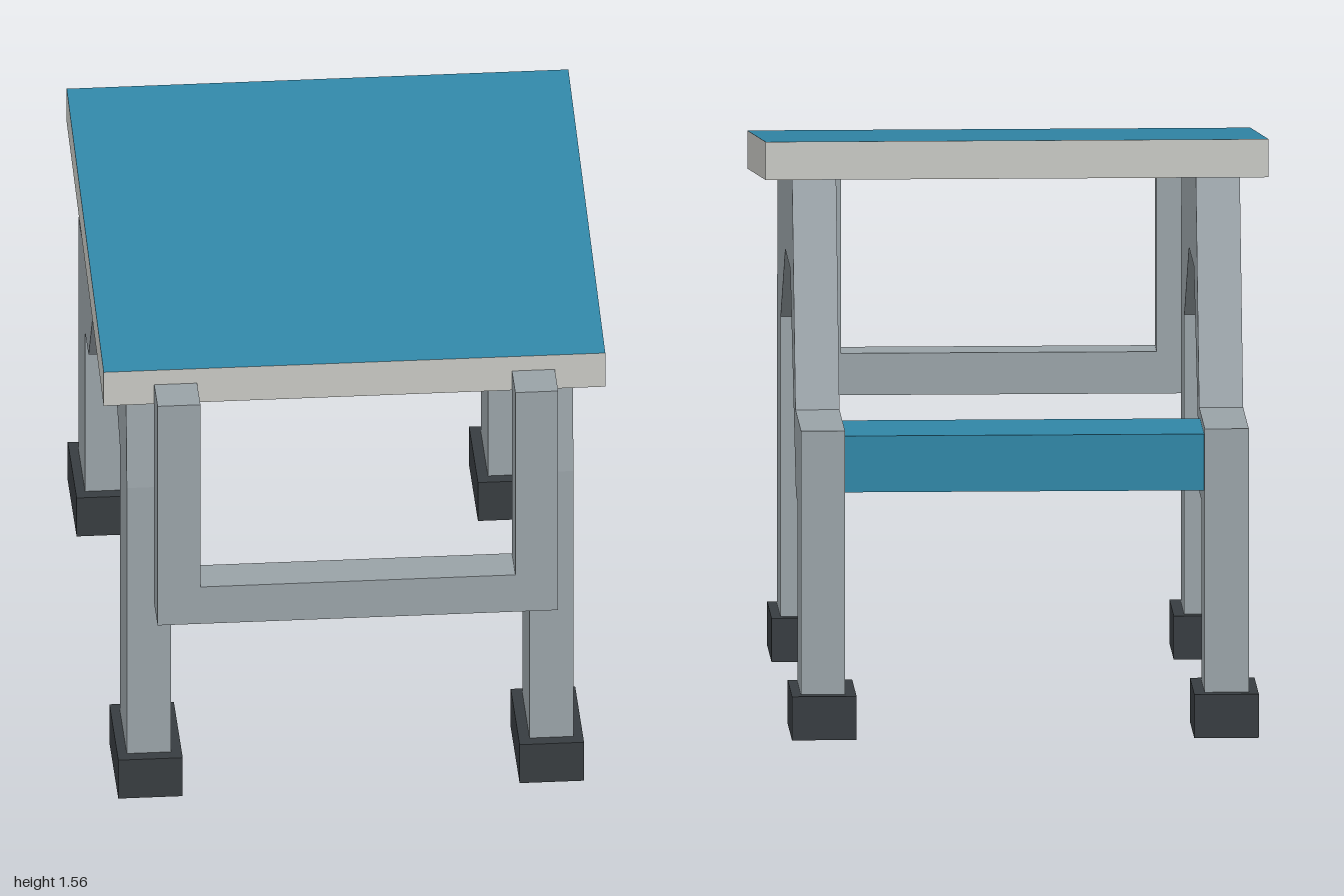
import * as THREE from 'three';

const mat = (color) => new THREE.MeshStandardMaterial({ color, flatShading: true });

export function createModel() {
  const model = new THREE.Group();
  model.name = 'slopedStepStool';
  const frameMat = mat(0x9ba4a9);
  const footMat = mat(0x383d41);
  const blueMat = mat(0x3187a8);
  const slabMat = mat(0xc9cac5);

  const add = (name, geometry, material) => {
    const mesh = new THREE.Mesh(geometry, material);
    mesh.name = name;
    model.add(mesh);
    return mesh;
  };
  // Box given by its limits on each axis
  const box = (x0, x1, y0, y1, z0, z1) =>
    new THREE.BoxGeometry(x1 - x0, y1 - y0, z1 - z0)
      .translate((x0 + x1) / 2, (y0 + y1) / 2, (z0 + z1) / 2);
  const extrude = (points, depth) =>
    new THREE.ExtrudeGeometry(new THREE.Shape(points.map(([a, b]) => new THREE.Vector2(a, b))),
      { depth, bevelEnabled: false });

  // Side frames: profile in (z, y), legs, arch and rear step support in one piece
  const profile = [
    [0.73, 0.12], [0.73, 0.95], [0.69, 1.319], [-0.33, 1.446], [-0.565, 0.845],
    [-0.96, 0.845], [-0.96, 0.12], [-0.725, 0.12], [-0.725, 0.615], [-0.605, 0.615],
    [-0.195, 1.18], [0.16, 1.18], [0.49, 0.945], [0.49, 0.12],
  ];
  for (const [side, s] of [['left', 1], ['right', -1]]) {
    const frame = extrude(profile, 0.12).translate(0, 0, -0.06).rotateY(-Math.PI / 2);
    add(`${side}SideFrame`, frame.translate(s * 0.55, 0, 0), frameMat);

    // Rubber feet
    for (const [end, z0, z1] of [['Front', 0.455, 0.765], ['Rear', -1, -0.69]]) {
      add(`${side}${end}Foot`, box(s * 0.548 - 0.088, s * 0.548 + 0.088, 0, 0.12, z0, z1), footMat);
    }
  }

  // Sloped top: a box sheared upwards to the rear, blue on its upper face only
  const top = new THREE.BoxGeometry(1.37, 0.105, 1.29);
  const pos = top.attributes.position;
  for (let i = 0; i < pos.count; i++) pos.setY(i, pos.getY(i) - pos.getZ(i) * 0.124);
  top.computeVertexNormals();
  top.translate(0, 1.4275, 0.235);
  add('slopedTop', top, [slabMat, slabMat, blueMat, slabMat, slabMat, slabMat]);

  // Rear step
  add('rearStep', box(-0.49, 0.49, 0.67, 0.825, -0.92, -0.63), blueMat);

  // U-shaped front handle
  const handle = extrude([
    [-0.547, 0.67], [0.547, 0.67], [0.547, 1.355], [0.43, 1.355],
    [0.43, 0.785], [-0.43, 0.785], [-0.43, 1.355], [-0.547, 1.355],
  ], 0.12);
  add('frontHandle', handle.translate(0, 0, 0.88), frameMat);

  return model;
}
